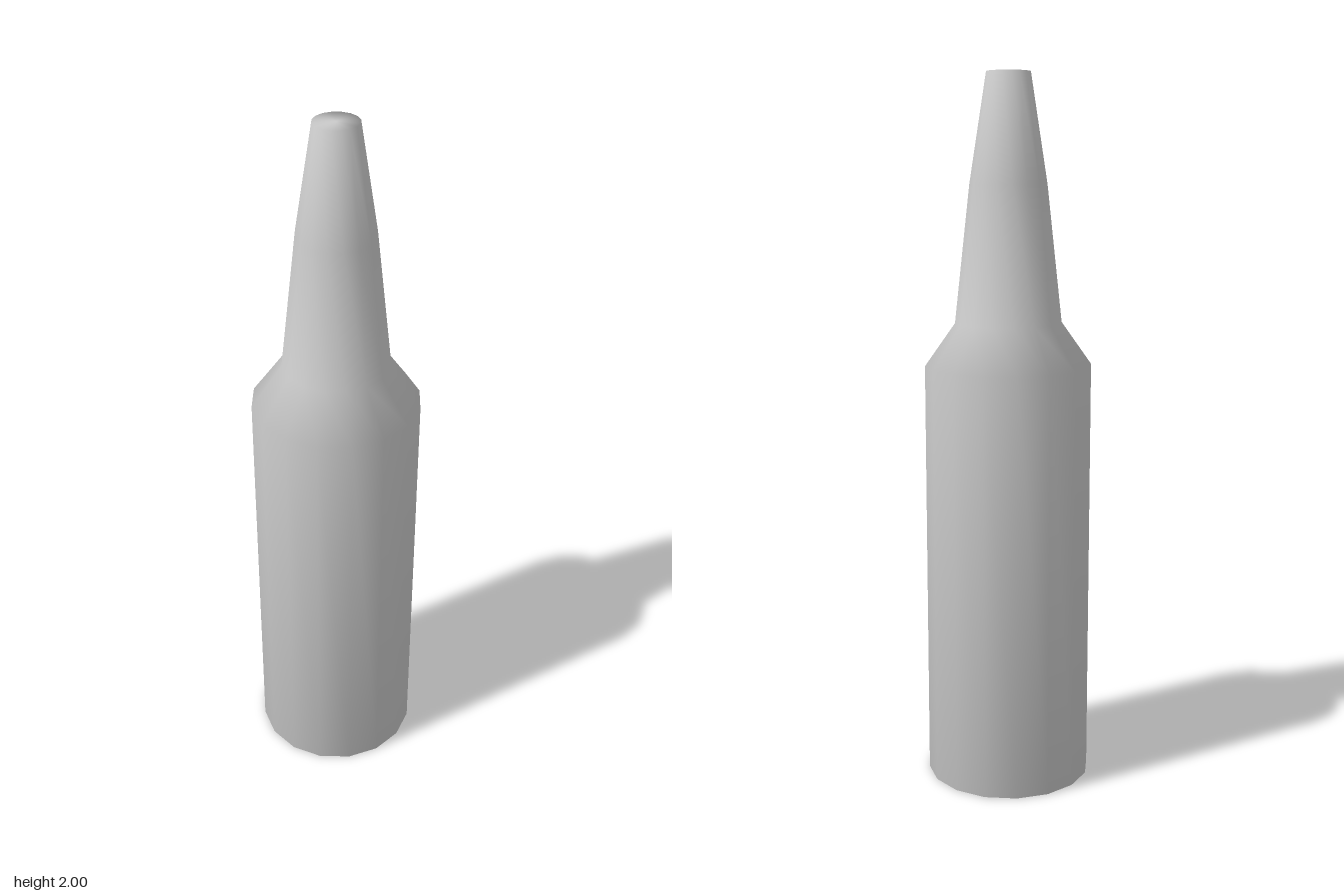
import * as THREE from 'three';

export function createModel() {
  const group = new THREE.Group();
  group.name = 'bottle';

  // Closed profile from base centre to top centre: [radius, height]
  const profile = [
    [0, 0],
    [0.235, 0],      // base rim
    [0.235, 1.2],    // straight body
    [0.15, 1.32],    // shoulder
    [0.108, 1.7],    // neck
    [0.061, 2],      // mouth rim
    [0, 2],
  ].map(([r, y]) => new THREE.Vector2(r, y));

  // Sixteen-sided body, softly shaded over every edge
  const body = new THREE.Mesh(
    new THREE.LatheGeometry(profile, 16),
    new THREE.MeshStandardMaterial({ color: 0xcccccc })
  );
  body.name = 'bottleBody';
  group.add(body);
  return group;
}
